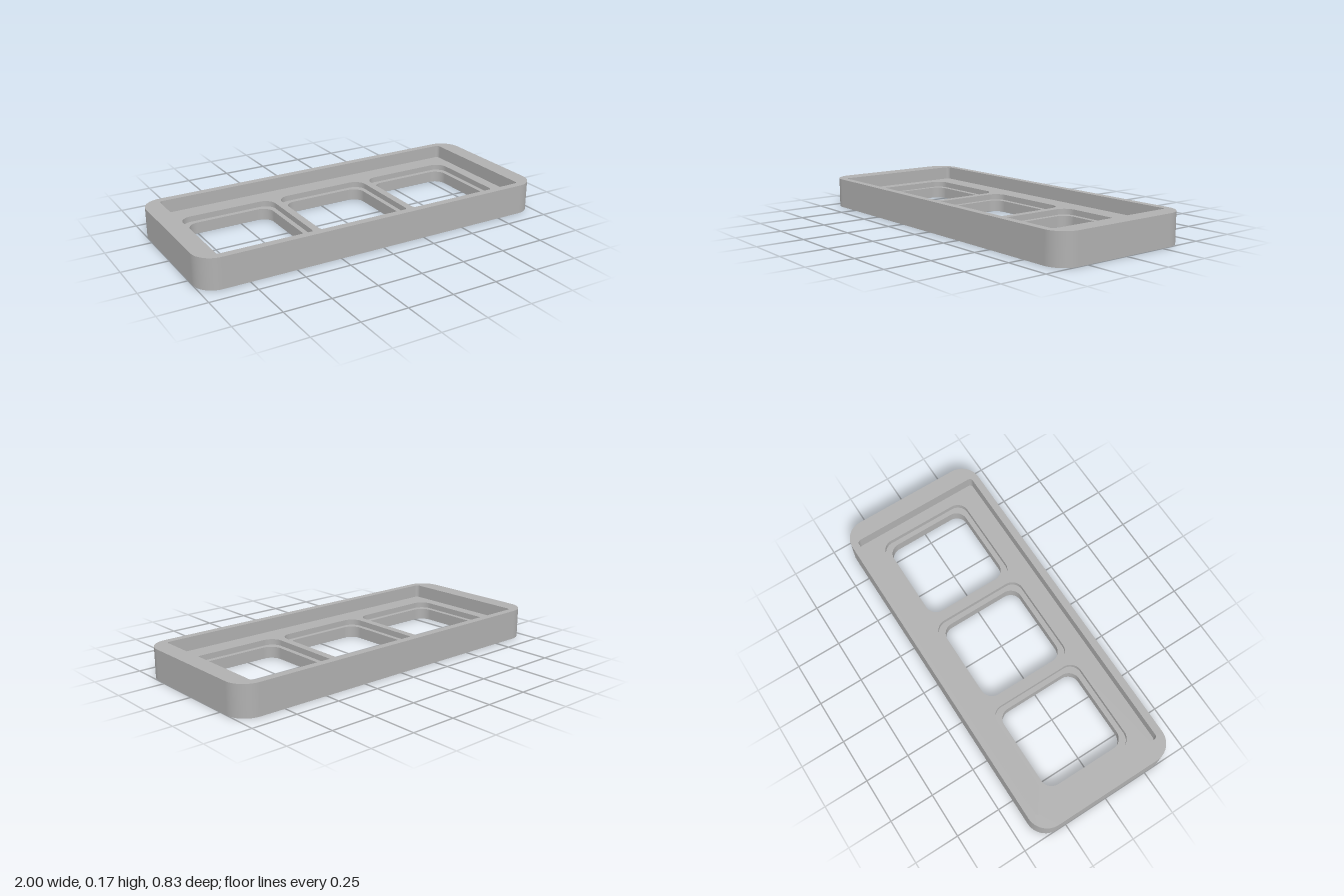
import * as THREE from 'three';
import { mergeGeometries } from 'three/addons/utils/BufferGeometryUtils.js';

const STEPS = 12;

// Rounded rectangle seen from above: points with their outward directions
function outline(hx, hz, r, cx = 0) {
  const pts = [];
  for (let q = 0; q < 4; q++) {
    const sx = q === 0 || q === 3 ? 1 : -1;
    const sz = q < 2 ? 1 : -1;
    for (let i = 0; i <= STEPS; i++) {
      const a = (q + i / STEPS) * Math.PI / 2;
      const nx = Math.cos(a), nz = Math.sin(a);
      pts.push({ x: cx + sx * (hx - r) + r * nx, z: sz * (hz - r) + r * nz, nx, nz });
    }
  }
  return pts;
}

// Upright wall along an outline; dir 1 faces outwards, -1 faces inwards
function wall(pts, y0, y1, dir) {
  const pos = [], nor = [], uv = [], idx = [], n = pts.length;
  pts.forEach((p, i) => {
    for (const y of [y0, y1]) {
      pos.push(p.x, y, p.z);
      nor.push(p.nx * dir, 0, p.nz * dir);
      uv.push(i / n, y);
    }
    const a = 2 * i, b = 2 * ((i + 1) % n);
    if (dir > 0) idx.push(a, a + 1, b, b, a + 1, b + 1);
    else idx.push(a, b, a + 1, b, b + 1, a + 1);
  });
  const g = new THREE.BufferGeometry();
  g.setAttribute('position', new THREE.Float32BufferAttribute(pos, 3));
  g.setAttribute('normal', new THREE.Float32BufferAttribute(nor, 3));
  g.setAttribute('uv', new THREE.Float32BufferAttribute(uv, 2));
  g.setIndex(idx);
  return g;
}

// Level face with holes; dir 1 faces up, -1 faces down
function cap(outer, holes, y, dir) {
  const flat = pts => pts.map(p => new THREE.Vector2(p.x, p.z));
  const shape = new THREE.Shape(flat(outer));
  holes.forEach(h => shape.holes.push(new THREE.Path(flat(h))));
  return new THREE.ShapeGeometry(shape).rotateX(-dir * Math.PI / 2).translate(0, y, 0);
}

export function createModel() {
  const model = new THREE.Group();
  model.name = 'threeWindowFrame';
  const grey = new THREE.MeshStandardMaterial({ color: 0xb0b0b0 });
  grey.name = 'grey';
  const add = (name, ...parts) => {
    const mesh = new THREE.Mesh(mergeGeometries(parts), grey);
    mesh.name = name;
    model.add(mesh);
  };

  const ledgeY = 0.062, floorY = 0.093, topY = 0.166;
  const centres = [-0.575, 0, 0.575];
  const body = outline(1, 0.413, 0.11);
  const recess = outline(0.904, 0.373, 0.02);
  const seats = centres.map(x => outline(0.267, 0.266, 0.065, x));
  const openings = centres.map(x => outline(0.24, 0.239, 0.065, x));

  // Outer shell, rim and underside
  add('outerWall', wall(body, 0, topY, 1));
  add('rim', cap(body, [recess], topY, 1), wall(recess, floorY, topY, -1));
  add('underside', cap(body, openings, 0, -1));

  // Recessed floor with three stepped openings
  add('recessFloor', cap(recess, seats, floorY, 1));
  centres.forEach((x, i) => add('steppedOpening' + (i + 1),
    wall(seats[i], ledgeY, floorY, -1),
    cap(seats[i], [openings[i]], ledgeY, 1),
    wall(openings[i], 0, ledgeY, -1)));

  return model;
}
